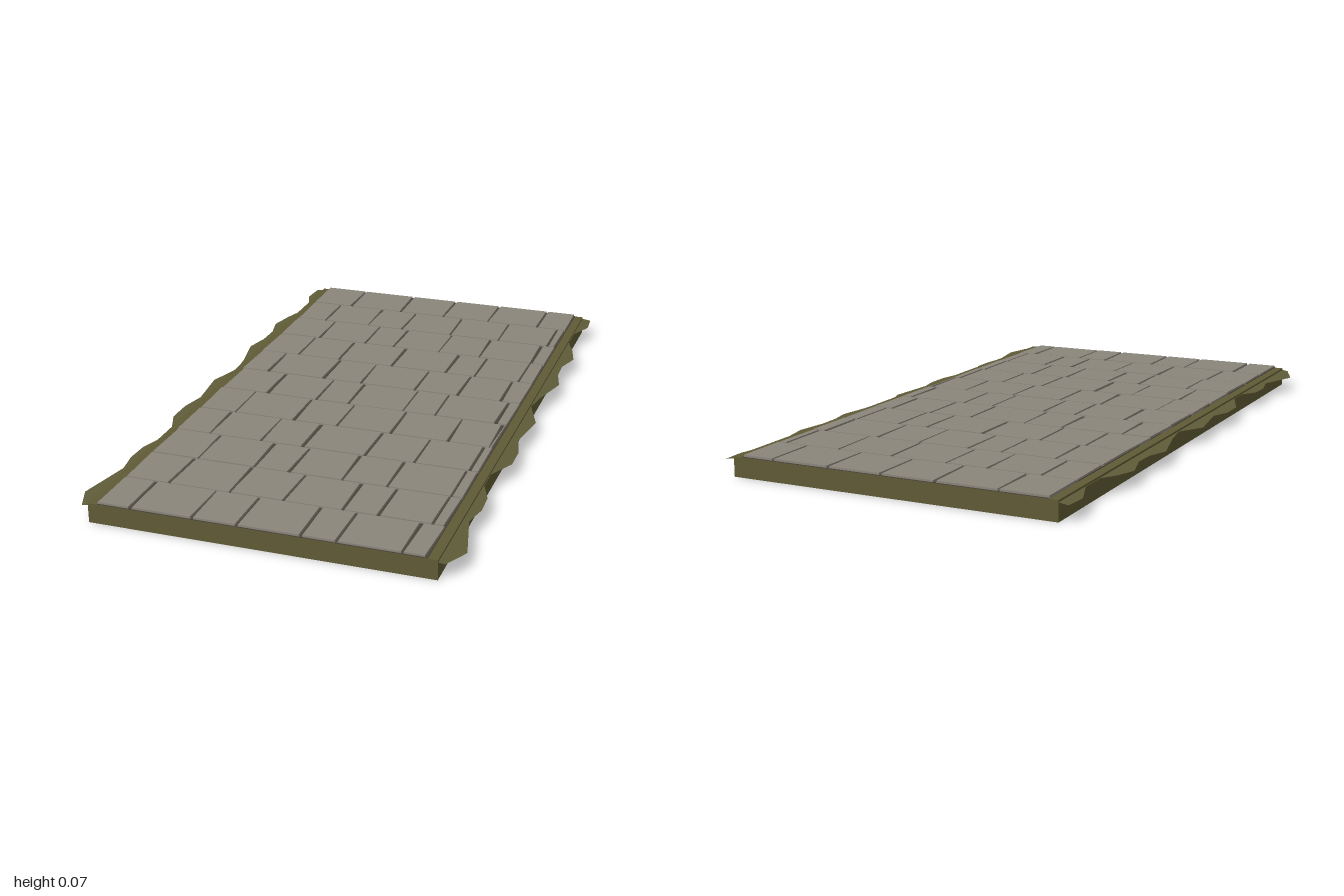
import * as THREE from 'three';

const material = (name, color, side = THREE.FrontSide) => {
  const m = new THREE.MeshStandardMaterial({ color, side, flatShading: true });
  m.name = name;
  return m;
};

// x positions of the upright joints, one list per course from back to front
const JOINTS = [
  [-0.35, -0.15, 0.025, 0.2, 0.39],
  [-0.39, -0.22, -0.085, 0.1, 0.285, 0.47],
  [-0.35, -0.17, -0.06, 0.11, 0.26, 0.45],
  [-0.36, -0.21, -0.01, 0.19, 0.29, 0.45],
  [-0.405, -0.2, -0.065, 0.13, 0.28, 0.43],
  [-0.335, -0.16, -0.045, 0.145, 0.255, 0.46],
  [-0.375, -0.17, -0.02, 0.16, 0.35, 0.485],
  [-0.385, -0.21, -0.07, 0.135, 0.295, 0.47],
  [-0.345, -0.16, -0.045, 0.125, 0.265, 0.465],
  [-0.355, -0.16, 0.01, 0.19, 0.3, 0.46],
  [-0.395, -0.2, -0.065, 0.13, 0.235, 0.43],
];

// [z, x] outline of the ragged grass edge
const VERGE = [
  [-1, 0.56], [-0.92, 0.565], [-0.83, 0.532], [-0.73, 0.532], [-0.67, 0.557], [-0.59, 0.578],
  [-0.5, 0.555], [-0.42, 0.557], [-0.34, 0.578], [-0.2, 0.545], [-0.11, 0.532], [0, 0.573],
  [0.16, 0.552], [0.24, 0.573], [0.33, 0.573], [0.43, 0.532], [0.51, 0.532], [0.58, 0.56],
  [0.66, 0.563], [0.74, 0.547], [0.91, 0.588], [1, 0.55],
];

export function createModel() {
  const group = new THREE.Group();
  const stone = material('stone', 0x8a857b);
  const joint = material('joint', 0x48443a);
  const earth = material('earth', 0x5f5a35);
  const grass = material('grass', 0x5f5c38, THREE.DoubleSide);

  const add = (name, geometry, mat, x = 0, y = 0, z = 0) => {
    const mesh = new THREE.Mesh(geometry, mat);
    mesh.name = name;
    mesh.position.set(x, y, z);
    group.add(mesh);
    return mesh;
  };

  let seed = 7;
  const jitter = (amount) => {
    seed = (seed * 16807) % 2147483647;
    return (seed / 2147483647 - 0.5) * amount;
  };

  // Earth bed and the dark layer seen in the joints
  add('bed', new THREE.BoxGeometry(1.06, 0.062, 2), earth, 0, 0.031, 0);
  add('jointLayer', new THREE.BoxGeometry(1, 0.003, 1.998), joint, 0, 0.0625, 0);

  // Paving stones in staggered courses, with slightly uneven corners
  const depth = 2 / JOINTS.length;
  JOINTS.forEach((joints, row) => {
    const ends = [-0.503, ...joints, 0.499];
    for (let i = 0; i < ends.length - 1; i++) {
      const width = ends[i + 1] - ends[i] - 0.007;
      const geometry = new THREE.BoxGeometry(width, 0.009, depth - 0.006);
      const p = geometry.attributes.position;
      // Shift each corner once so that its three copies stay joined
      const shift = [0, 1, 2, 3].map(() => jitter(0.006));
      for (let v = 0; v < p.count; v++) {
        const corner = (p.getX(v) > 0 ? 1 : 0) + (p.getZ(v) > 0 ? 2 : 0);
        const inset = p.getY(v) > 0 ? 0.001 : 0;
        p.setX(v, p.getX(v) - Math.sign(p.getX(v)) * inset + shift[corner]);
      }
      geometry.computeVertexNormals();
      const x = (ends[i] + ends[i + 1]) / 2;
      add('pavingStone', geometry, stone, x, 0.0655 + jitter(0.001), -1 + depth * (row + 0.5));
    }
  });

  // Ragged grass edges sloping down from both sides of the bed
  for (const side of [1, -1]) {
    const points = [];
    const index = [];
    VERGE.forEach(([z, x], i) => {
      points.push(side * 0.529, 0.056, z, side * x, 0.056 - (x - 0.53) * 0.15, z);
      if (i === 0) return;
      const a = 2 * i - 2;
      if (side > 0) index.push(a, a + 2, a + 1, a + 1, a + 2, a + 3);
      else index.push(a, a + 1, a + 2, a + 1, a + 3, a + 2);
    });
    const geometry = new THREE.BufferGeometry();
    geometry.setAttribute('position', new THREE.Float32BufferAttribute(points, 3));
    geometry.setIndex(index);
    geometry.computeVertexNormals();
    add(side > 0 ? 'leftVerge' : 'rightVerge', geometry, grass);
  }

  return group;
}
